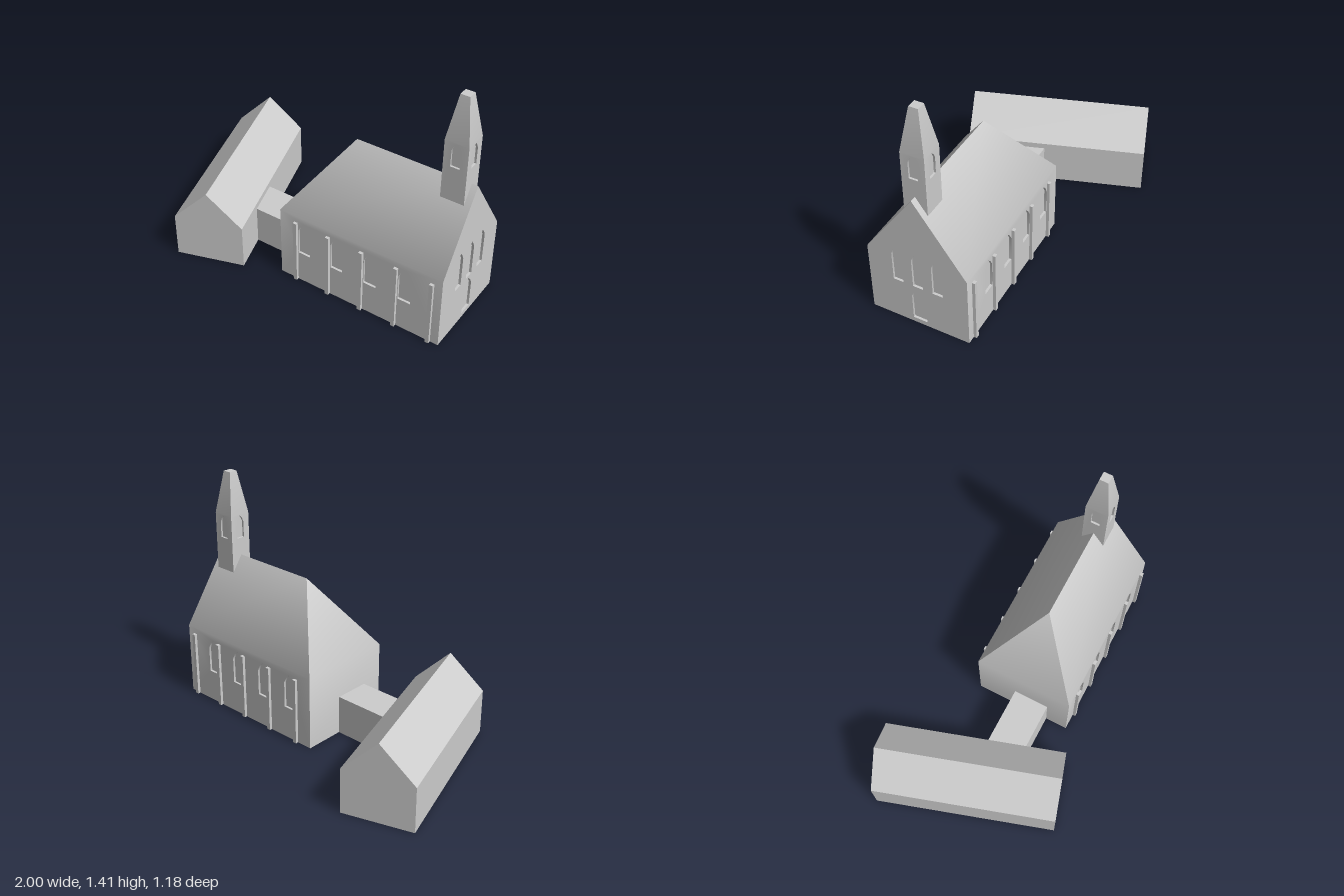
import * as THREE from 'three';
import { mergeGeometries, toCreasedNormals } from 'three/addons/utils/BufferGeometryUtils.js';

const stone = new THREE.MeshStandardMaterial({ color: 0xcccccc });
stone.name = 'pale grey stone';

// Flat polygon from corners listed counter-clockwise, as a triangle fan
function face(corners) {
  const pos = [];
  for (let i = 1; i < corners.length - 1; i++) pos.push(...corners[0], ...corners[i], ...corners[i + 1]);
  return new THREE.BufferGeometry().setAttribute('position', new THREE.Float32BufferAttribute(pos, 3));
}

// Flat shape in the XY plane, reduced to plain positions
function sheet(shape) {
  const g = new THREE.ShapeGeometry(shape).toNonIndexed();
  g.deleteAttribute('uv');
  g.deleteAttribute('normal');
  return g;
}

// Pointed opening: centre x, sill y, half width, spring y, apex y
function lancet(x, y0, hw, ys, y1) {
  const ym = ys + (y1 - ys) * 0.55;
  return [[x - hw, y0], [x + hw, y0], [x + hw, ys], [x + hw * 0.6, ym], [x, y1], [x - hw * 0.6, ym], [x - hw, ys]];
}

// Wall with recessed openings, turned about y and pushed out by dist
function wall(outline, openings, angle, dist, depth = 0.014) {
  const toShape = (pts) => new THREE.Shape(pts.map((p) => new THREE.Vector2(...p)));
  const shape = toShape(outline);
  const parts = [];
  for (const pts of openings) {
    shape.holes.push(toShape(pts));
    parts.push(sheet(toShape(pts)).translate(0, 0, -depth));
    pts.forEach((a, i) => {
      const b = pts[(i + 1) % pts.length];
      parts.push(face([[...a, 0], [...b, 0], [...b, -depth], [...a, -depth]]));
    });
  }
  parts.push(sheet(shape));
  return parts.map((g) => g.translate(0, 0, dist).rotateY(angle));
}

const rect = (hw, y0, y1) => [[-hw, y0], [hw, y0], [hw, y1], [-hw, y1]];

function addMesh(parent, name, geometry, x = 0, y = 0, z = 0) {
  const mesh = new THREE.Mesh(geometry, stone);
  mesh.name = name;
  mesh.position.set(x, y, z);
  parent.add(mesh);
  return mesh;
}

// Softens the shallow bends at the eaves, keeps the corners sharp
const finish = (parts) => toCreasedNormals(mergeGeometries(parts), 0.75);

const L = 0.525, W = 0.303, EAVES = 0.457, RIDGE = 0.89, HIP = -0.215;

function naveGeometry() {
  const side = [-0.36, -0.14, 0.08, 0.3].map((x) => lancet(x, 0.2, 0.04, 0.36, 0.42));
  const mirrored = side.map((pts) => pts.map(([x, y]) => [-x, y]).reverse());
  const gable = [-0.121, 0, 0.121].map((x) => lancet(x, 0.277, 0.031, 0.465, 0.52));
  gable.push(lancet(0, 0.03, 0.043, 0.2, 0.26));
  const gableOutline = [[-W, 0], [W, 0], [W, EAVES], [0, RIDGE], [-W, EAVES]];
  return finish([
    ...wall(rect(L, 0, EAVES), side, 0, W),
    ...wall(rect(L, 0, EAVES), mirrored, Math.PI, W),
    ...wall(gableOutline, gable, Math.PI / 2, L),
    ...wall(rect(W, 0, EAVES), [], -Math.PI / 2, L),
    // roof slopes, hip and floor
    face([[-L, EAVES, W], [L, EAVES, W], [L, RIDGE, 0], [HIP, RIDGE, 0]]),
    face([[L, EAVES, -W], [-L, EAVES, -W], [HIP, RIDGE, 0], [L, RIDGE, 0]]),
    face([[-L, EAVES, -W], [-L, EAVES, W], [HIP, RIDGE, 0]]),
    face([[-L, 0, -W], [L, 0, -W], [L, 0, W], [-L, 0, W]]),
  ]);
}

function towerGeometry() {
  const b = 0.07, t = 0.027, y0 = 0.78, y1 = 1.15, y2 = 1.41;
  const parts = [face([[-t, y2, t], [t, y2, t], [t, y2, -t], [-t, y2, -t]])];
  for (let i = 0; i < 4; i++) {
    const a = i * Math.PI / 2;
    parts.push(...wall(rect(b, y0, y1), [lancet(0, 1, 0.027, 1.1, 1.143)], a, b, 0.012));
    parts.push(face([[-b, y1, b], [b, y1, b], [t, y2, t], [-t, y2, t]]).rotateY(a));
  }
  return finish(parts);
}

export function createModel() {
  const model = new THREE.Group();
  model.name = 'church';

  // Church body with its tower and buttresses
  const church = new THREE.Group();
  church.name = 'churchBody';
  church.position.set(0.475, 0, 0.055);
  model.add(church);
  addMesh(church, 'nave', naveGeometry());
  addMesh(church, 'tower', towerGeometry(), 0.418, 0, 0);
  const buttress = new THREE.BoxGeometry(0.023, 0.415, 0.03);
  for (const x of [-0.415, -0.195, 0.025, 0.245, 0.465]) {
    for (const s of [-1, 1]) addMesh(church, 'buttress', buttress, x, 0.2075, s * (W + 0.003));
  }

  // Low link between church and hall
  addMesh(model, 'connector', new THREE.BoxGeometry(0.42, 0.24, 0.22), -0.25, 0.12, 0.11);

  // Gabled hall set at an angle
  const section = [[-0.21, 0], [0.21, 0], [0.21, 0.275], [0, 0.48], [-0.21, 0.275]];
  const hallShape = new THREE.Shape(section.map((p) => new THREE.Vector2(...p)));
  const hallGeometry = new THREE.ExtrudeGeometry(hallShape, { depth: 1.1, bevelEnabled: false }).translate(0, 0, -0.55);
  addMesh(model, 'hall', hallGeometry, -0.63, 0, -0.003).rotation.y = 0.3145;

  return model;
}
